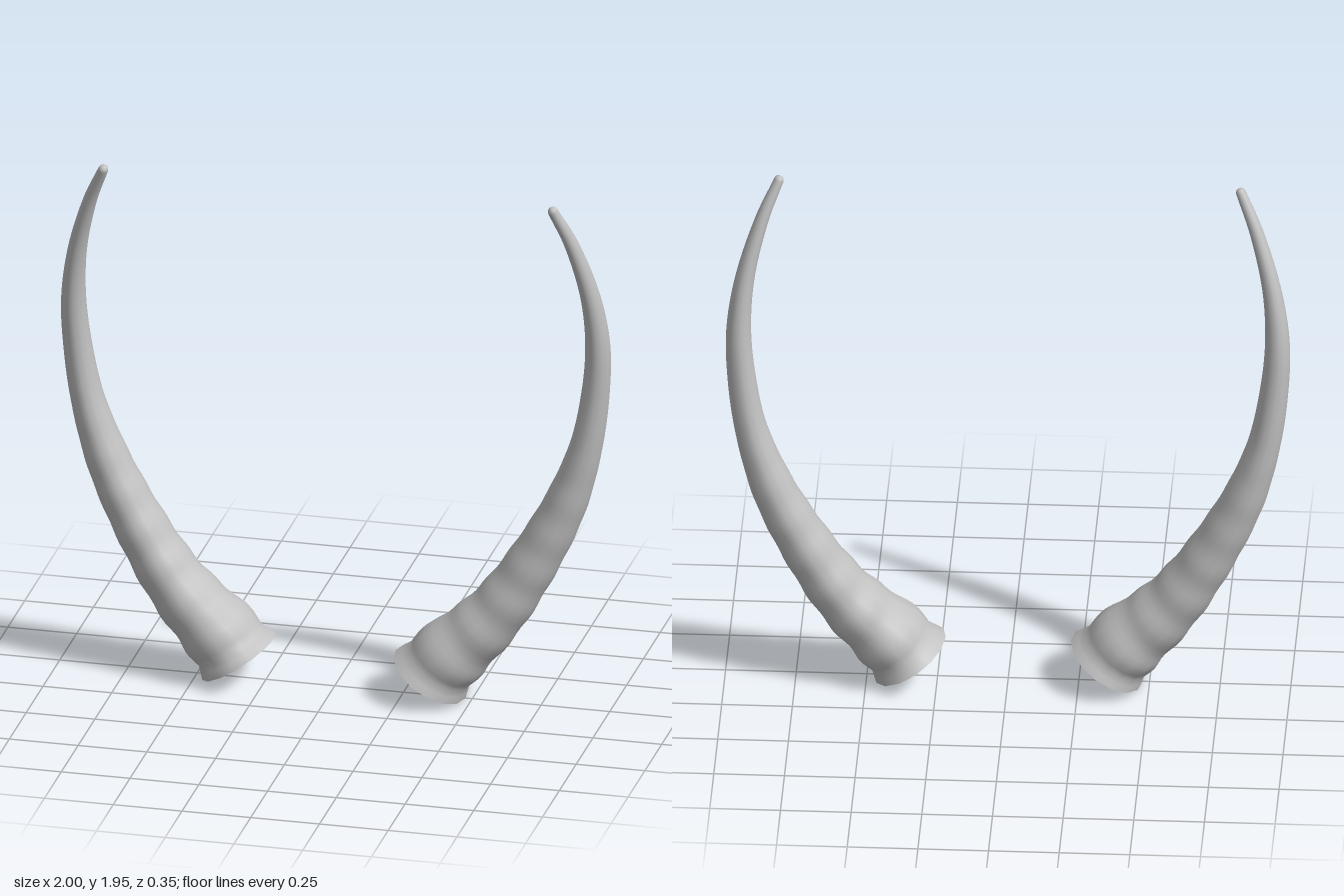
import * as THREE from 'three';

const SIDES = 14, ROWS = 80, DOME = 4;

// Centre line of the left horn: x, y, z, then in-plane radius and depth radius
const sections = [
  [0.348, 0.09, 0, 0.15, 0.18],
  [0.425, 0.18, -0.006, 0.131, 0.157],
  [0.54, 0.295, -0.015, 0.113, 0.137],
  [0.64, 0.425, -0.023, 0.1, 0.122],
  [0.755, 0.62, -0.032, 0.087, 0.106],
  [0.84, 0.80, -0.037, 0.075, 0.092],
  [0.905, 1.0, -0.035, 0.059, 0.075],
  [0.94, 1.2, -0.028, 0.051, 0.062],
  [0.953, 1.4, -0.013, 0.044, 0.055],
  [0.932, 1.6, 0.015, 0.034, 0.044],
  [0.878, 1.8, 0.057, 0.025, 0.031],
  [0.818, 1.945, 0.1, 0.018, 0.02],
];
const path = new THREE.CatmullRomCurve3(
  sections.map(([x, y, z]) => new THREE.Vector3(x, y, z)), false, 'catmullrom');
const radii = new THREE.CatmullRomCurve3(
  sections.map((s) => new THREE.Vector3(s[3], s[4], 0)), false, 'catmullrom');
const length = path.getLength();
const baseNormal = new THREE.Vector3(0.53, 0.85, 0).normalize();

// Growth ridges that fade towards the tip, and the pinch above the base lip
function ripple(s) {
  const fade = THREE.MathUtils.clamp(1.1 - s / 1.1, 0, 1) * Math.min(1, s / 0.08);
  const ridges = 0.035 * fade * Math.cos((2 * Math.PI * (s - 0.13)) / 0.15);
  return 1 + ridges - 0.07 * Math.exp(-(((s - 0.045) / 0.025) ** 2));
}

// One elliptical ring of the horn; dome is 0..1 over the rounded tip
function ring(u, dome, mirror) {
  const t = path.getUtoTmapping(u);
  const tangent = path.getTangent(t);
  tangent.lerp(baseNormal, Math.max(0, 1 - u * 10)).normalize();
  const across = new THREE.Vector3().crossVectors(tangent, new THREE.Vector3(0, 0, 1)).normalize();
  const depth = new THREE.Vector3().crossVectors(across, tangent);
  const r = radii.getPoint(t).multiplyScalar(ripple(u * length));
  const shrink = Math.cos(dome * Math.PI * 0.48);
  const centre = path.getPoint(t).addScaledVector(tangent, r.x * Math.sin(dome * Math.PI / 2));
  const points = [];
  for (let j = 0; j < SIDES; j++) {
    const a = (j / SIDES) * Math.PI * 2;
    const p = centre.clone()
      .addScaledVector(across, r.x * shrink * Math.cos(a))
      .addScaledVector(depth, r.y * shrink * Math.sin(a));
    points.push(p.x * mirror, p.y, p.z);
  }
  return points;
}

function buildGeometry(positions, index, mirror) {
  if (mirror < 0) {
    for (let i = 0; i < index.length; i += 3) [index[i], index[i + 1]] = [index[i + 1], index[i]];
  }
  const g = new THREE.BufferGeometry();
  g.setAttribute('position', new THREE.Float32BufferAttribute(positions, 3));
  g.setIndex(index);
  g.computeVertexNormals();
  return g;
}

function createHorn(mirror, material) {
  const horn = new THREE.Group();
  horn.name = mirror > 0 ? 'leftHorn' : 'rightHorn';

  // Curved, ridged shaft with a rounded tip
  const positions = [], index = [];
  for (let i = 0; i <= ROWS + DOME; i++) {
    positions.push(...ring(Math.min(1, i / ROWS), Math.max(0, (i - ROWS) / DOME), mirror));
  }
  for (let i = 0; i < ROWS + DOME; i++) {
    for (let j = 0; j < SIDES; j++) {
      const k = (j + 1) % SIDES;
      const a = i * SIDES + j, b = i * SIDES + k;
      index.push(a, a + SIDES, b, b, a + SIDES, b + SIDES);
    }
  }
  const last = (ROWS + DOME) * SIDES;
  for (let j = 1; j < SIDES - 1; j++) index.push(last, last + j + 1, last + j);
  const shaft = new THREE.Mesh(buildGeometry(positions, index, mirror), material);
  shaft.name = 'hornShaft';

  // Flat face closing the base
  const capIndex = [];
  for (let j = 1; j < SIDES - 1; j++) capIndex.push(0, j, j + 1);
  const cap = new THREE.Mesh(buildGeometry(ring(0, 0, mirror), capIndex, mirror), material);
  cap.name = 'hornBase';

  horn.add(shaft, cap);
  return horn;
}

export function createModel() {
  const model = new THREE.Group();
  model.name = 'hornPair';
  const material = new THREE.MeshStandardMaterial({ color: 0xc0c0c0 });
  material.name = 'hornGrey';
  for (const mirror of [1, -1]) model.add(createHorn(mirror, material));
  return model;
}
